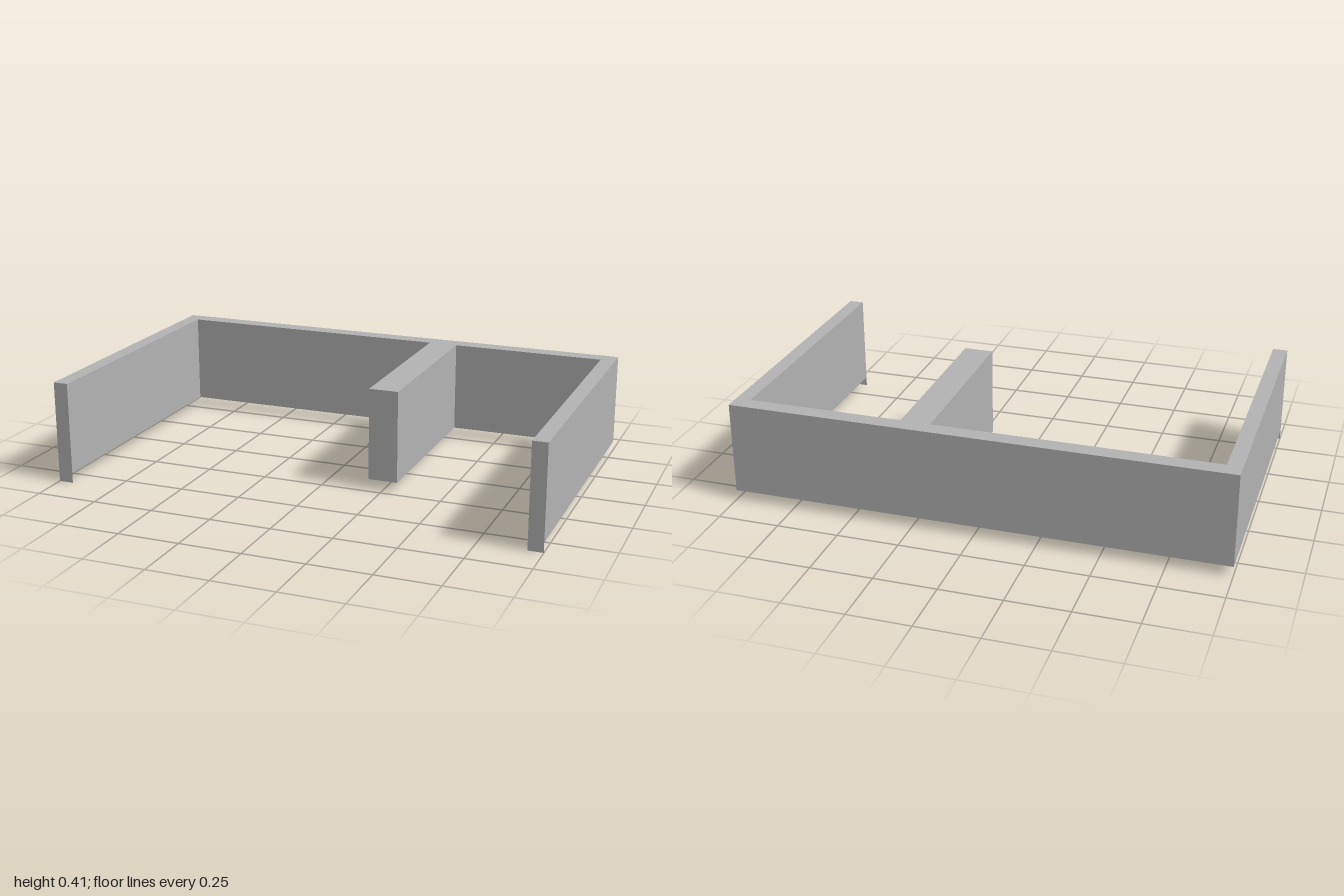
import * as THREE from 'three';

const TOP = 0.415, BASE = 0.04, DEPTH = 0.598, BACK = 0.53;

// Plan outline of the hollow walls, counter-clockwise, as [x, -z], with a name per side.
const OUTLINE = [
  [-1, -DEPTH, 'rightWingEnd'],
  [-0.94, -DEPTH, 'rightWingInner'],
  [-0.94, BACK, 'wideBayBack'],
  [0.19, BACK, 'partitionRight'],
  [0.19, -0.22, 'partitionEnd'],
  [0.31, -0.22, 'partitionLeft'],
  [0.31, BACK, 'narrowBayBack'],
  [0.94, BACK, 'leftWingInner'],
  [0.94, -DEPTH, 'leftWingEnd'],
  [1, -DEPTH, 'leftWingOuter'],
  [1, DEPTH, 'backWall'],
  [-1, DEPTH, 'rightWingOuter'],
];

function rectangle(width, bottom, top) {
  return new THREE.Shape([
    new THREE.Vector2(0, bottom), new THREE.Vector2(width, bottom),
    new THREE.Vector2(width, top), new THREE.Vector2(0, top),
  ]);
}

// Round-topped opening outline
function arch(left, PathType) {
  const r = 0.0975, bottom = 0.165, spring = 0.2575;
  const path = new PathType();
  path.moveTo(left, bottom);
  path.lineTo(left + 2 * r, bottom);
  path.lineTo(left + 2 * r, spring);
  path.absarc(left + r, spring, r, 0, Math.PI, false);
  path.closePath();
  return path;
}

export function createModel() {
  const model = new THREE.Group();
  const grey = new THREE.MeshStandardMaterial({ color: 0xb3b3b3, side: THREE.DoubleSide });
  grey.name = 'wall grey';

  const add = (name, geometry) => {
    const mesh = new THREE.Mesh(geometry, grey);
    mesh.name = name;
    model.add(mesh);
    return mesh;
  };

  // Flat top joining all the walls; the underside stays open
  const plan = new THREE.Shape(OUTLINE.map(([x, p]) => new THREE.Vector2(x, p)));
  add('wallTop', new THREE.ShapeGeometry(plan).rotateX(-Math.PI / 2).translate(0, TOP, 0));

  // One upright panel per side of the outline
  OUTLINE.forEach(([x, p, name], i) => {
    const [nx, np] = OUTLINE[(i + 1) % OUTLINE.length];
    const angle = Math.atan2(np - p, nx - x);
    const place = (g) => g.rotateY(angle).translate(x, 0, -p);
    // The wing ends reach down to the floor
    const bottom = name.endsWith('WingEnd') ? 0 : BASE;
    const panel = rectangle(Math.hypot(nx - x, np - p), bottom, TOP);

    // Two arched faces set flush in the narrow bay
    if (name === 'narrowBayBack') {
      [0.4, 0.65].forEach((left, n) => {
        panel.holes.push(arch(left - x, THREE.Path));
        add('archedPanel' + (n + 1), place(new THREE.ShapeGeometry(arch(left - x, THREE.Shape), 16)));
      });
    }
    add(name, place(new THREE.ShapeGeometry(panel, 16)));
  });

  return model;
}
